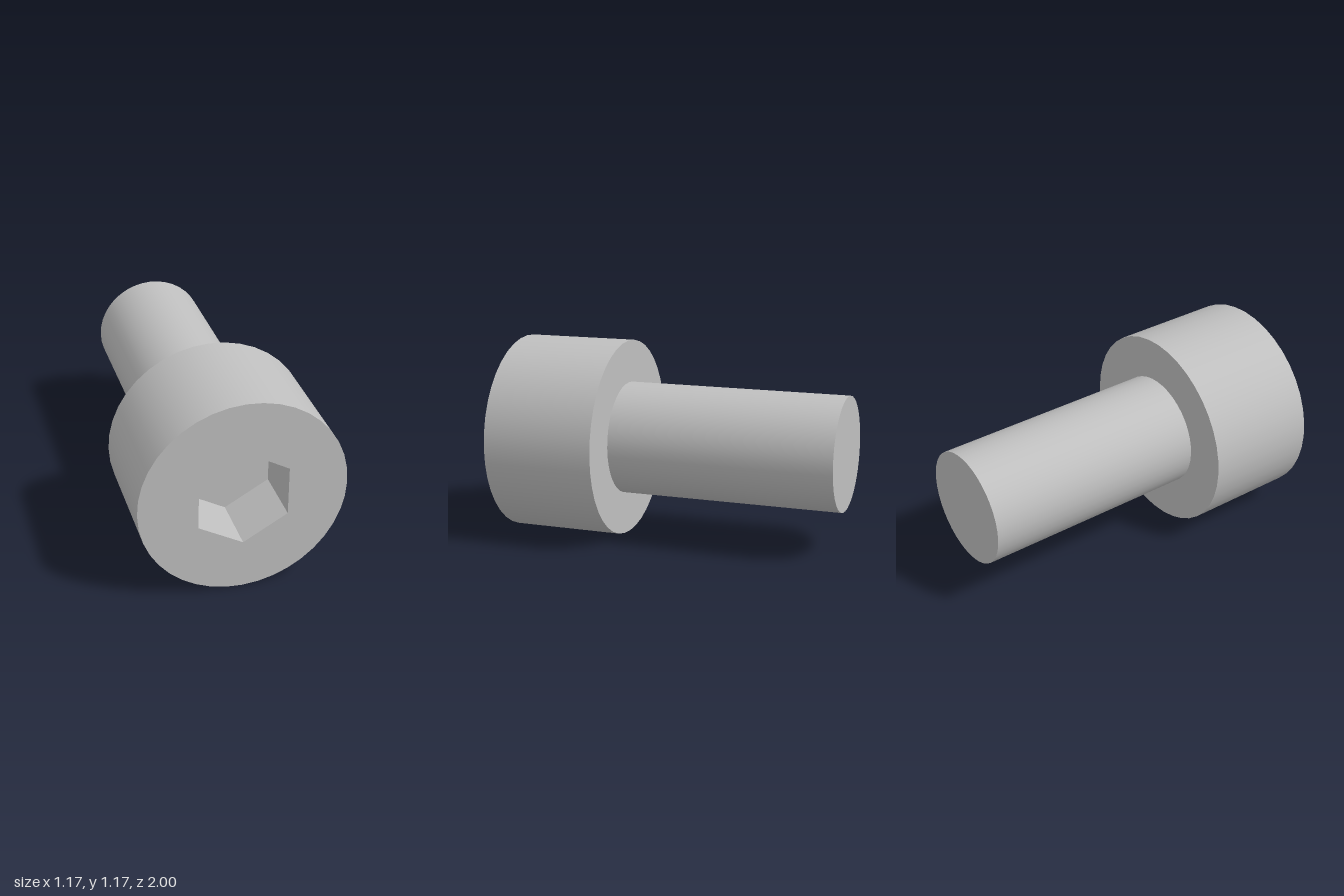
import * as THREE from 'three';

const SIDES = 40;
const HEAD_R = 0.5833, SHAFT_R = 0.3333;
const FRONT = 1, SHOULDER = 0.3333, BACK = -1, FLOOR = 0.6667;
const HEX_FLAT = 0.25, HEX_R = HEX_FLAT / Math.cos(Math.PI / 6);

// Corners of a regular polygon in the XY plane
function polygon(radius, sides, start = 0) {
  return Array.from({ length: sides }, (_, i) => {
    const a = start + (i / sides) * Math.PI * 2;
    return new THREE.Vector2(Math.cos(a) * radius, Math.sin(a) * radius);
  });
}

// Smooth open tube along z
function tube(radius, z0, z1) {
  return new THREE.CylinderGeometry(radius, radius, z1 - z0, SIDES, 1, true)
    .rotateX(Math.PI / 2)
    .translate(0, 0, (z0 + z1) / 2);
}

export function createModel() {
  const steel = new THREE.MeshStandardMaterial({ color: 0xbfbfbf });
  steel.name = 'steel grey';

  const model = new THREE.Group();
  model.name = 'socketHeadBolt';

  const add = (parent, name, geometry) => {
    const mesh = new THREE.Mesh(geometry, steel);
    mesh.name = name;
    parent.add(mesh);
  };
  const group = (name) => {
    const g = new THREE.Group();
    g.name = name;
    g.position.y = HEAD_R;
    model.add(g);
    return g;
  };

  // Head: rim, front face with hexagonal opening, shoulder ring
  const head = group('head');
  add(head, 'headRim', tube(HEAD_R, SHOULDER, FRONT));
  const face = new THREE.Shape(polygon(HEAD_R, SIDES));
  face.holes.push(new THREE.Path(polygon(HEX_R, 6, Math.PI / 2).reverse()));
  add(head, 'headFace', new THREE.ShapeGeometry(face).translate(0, 0, FRONT));
  add(head, 'shoulder', new THREE.RingGeometry(SHAFT_R, HEAD_R, SIDES)
    .rotateY(Math.PI).translate(0, 0, SHOULDER));

  // Hex socket: six inward-facing walls and a flat floor
  const socket = group('hexSocket');
  for (let i = 0; i < 6; i++) {
    add(socket, 'socketWall', new THREE.PlaneGeometry(HEX_R, FRONT - FLOOR)
      .rotateX(-Math.PI / 2)
      .translate(0, -HEX_FLAT, (FRONT + FLOOR) / 2)
      .rotateZ(Math.PI / 6 + (i * Math.PI) / 3));
  }
  add(socket, 'socketFloor', new THREE.CircleGeometry(HEX_R, 6, Math.PI / 2)
    .translate(0, 0, FLOOR));

  // Shaft: plain cylinder with a flat end
  const shaft = group('shaft');
  add(shaft, 'shaftSide', tube(SHAFT_R, BACK, SHOULDER));
  add(shaft, 'shaftEnd', new THREE.CircleGeometry(SHAFT_R, SIDES)
    .rotateY(Math.PI).translate(0, 0, BACK));

  return model;
}
